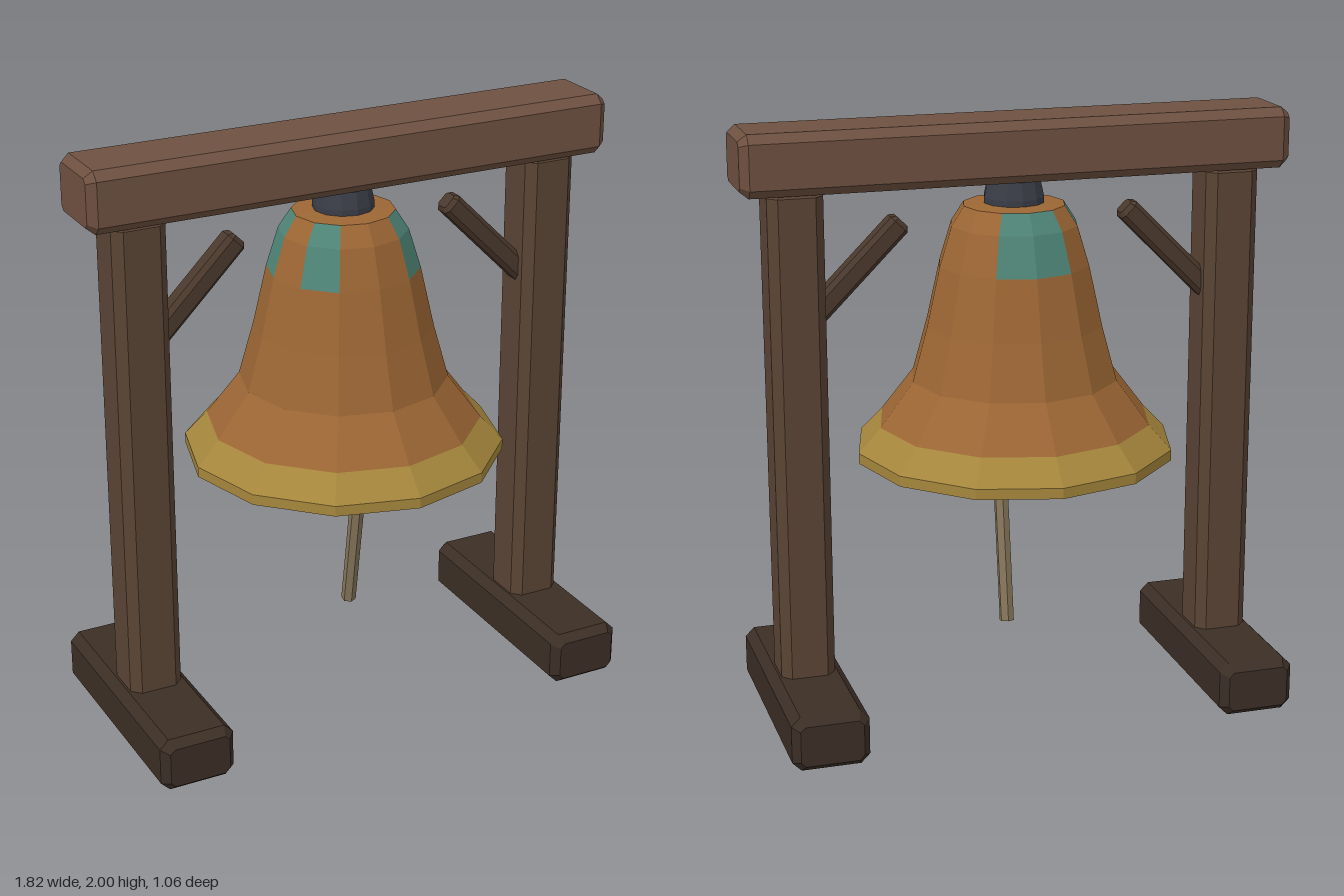
import * as THREE from 'three';

const mat = (color, extra = {}) => new THREE.MeshStandardMaterial({ color, flatShading: true, ...extra });
const beamWood = mat(0x6e5040), postWood = mat(0x594434), footWood = mat(0x3b2e25), braceWood = mat(0x4a382c);
const bronze = mat(0x9c6634), gold = mat(0xa5863c), patina = mat(0x4f8577);
const inside = mat(0x3d352b), iron = mat(0x3a3d47), ropeMat = mat(0x85765a);

function add(parent, name, geometry, material, x = 0, y = 0, z = 0) {
  const mesh = new THREE.Mesh(geometry, material);
  mesh.name = name;
  mesh.position.set(x, y, z);
  parent.add(mesh);
  return mesh;
}

// Timber with all edges chamfered, its length along z
function timber(w, h, length, c) {
  const a = w / 2 - c, b = h / 2 - c;
  const corners = [[a, -b - c], [a + c, -b], [a + c, b], [a, b + c], [-a, b + c], [-a - c, b], [-a - c, -b], [-a, -b - c]];
  const shape = new THREE.Shape(corners.map(([x, y]) => new THREE.Vector2(x, y)));
  const g = new THREE.ExtrudeGeometry(shape, {
    depth: length - 2 * c, bevelEnabled: true, bevelThickness: c, bevelSize: c * 0.8, bevelOffset: -c * 0.8, bevelSegments: 1,
  });
  return g.translate(0, 0, c - length / 2);
}

const SIDES = 12, STEP = Math.PI * 2 / SIDES;
const lathe = (pts, first = 0, count = SIDES) =>
  new THREE.LatheGeometry(pts.map(([r, y]) => new THREE.Vector2(r, y)), count, first * STEP, count * STEP);

// Rod between two points
function rod(parent, name, from, to, radius, sides, material) {
  const dir = to.clone().sub(from);
  const mid = from.clone().add(to).multiplyScalar(0.5);
  const mesh = add(parent, name, new THREE.CylinderGeometry(radius, radius, dir.length(), sides), material, mid.x, mid.y, mid.z);
  mesh.quaternion.setFromUnitVectors(new THREE.Vector3(0, 1, 0), dir.normalize());
  return mesh;
}

function buildFrame() {
  const frame = new THREE.Group();
  frame.name = 'frame';
  add(frame, 'crossBeam', timber(0.255, 0.2, 1.82, 0.028).rotateY(Math.PI / 2), beamWood, 0, 1.9, 0);
  for (const s of [1, -1]) {
    const side = s > 0 ? 'left' : 'right';
    add(frame, side + 'Post', timber(0.18, 0.18, 1.68, 0.03).rotateX(Math.PI / 2), postWood, s * 0.73, 0.98, 0);
    add(frame, side + 'Foot', timber(0.255, 0.185, 0.84, 0.03), footWood, s * 0.73, 0.0925, 0);
    // Diagonal brace leaning inwards from the post
    const brace = add(frame, side + 'Brace', timber(0.075, 0.075, 0.46, 0.015).rotateX(Math.PI / 2), braceWood, s * 0.54, 1.52, 0);
    brace.rotation.z = s * Math.PI / 4;
  }
  return frame;
}

function buildBell() {
  const bell = new THREE.Group();
  bell.name = 'bell';
  const rim = [[0.49, 0.88], [0.53, 0.88], [0.53, 0.915], [0.455, 0.995]];
  const body = [[0.455, 0.995], [0.345, 1.14], [0.295, 1.32], [0.25, 1.52]];
  const shoulder = [[0.25, 1.52], [0.21, 1.65], [0.168, 1.715]];
  add(bell, 'rim', lathe(rim), gold);
  add(bell, 'body', lathe(body), bronze);

  // Shoulder panels, some weathered green
  const green = new Set([1, 5, 6, 8, 10]);
  for (let i = 0; i < SIDES; i++) {
    add(bell, 'shoulderPanel' + (i + 1), lathe(shoulder, i, 1), green.has(i) ? patina : bronze);
  }
  add(bell, 'top', lathe([[0.168, 1.715], [0, 1.73]]), bronze);
  add(bell, 'innerWall', lathe([[0, 1.68], [0.17, 1.65], [0.22, 1.5], [0.26, 1.32], [0.31, 1.14], [0.42, 0.98], [0.49, 0.88]].slice()), inside);
  add(bell, 'crown', lathe([[0, 1.715], [0.1, 1.72], [0.1, 1.74], [0.085, 1.81], [0, 1.81]]), iron);

  // Clapper and pull rope
  add(bell, 'clapperRod', new THREE.CylinderGeometry(0.05, 0.05, 0.72, 8), iron, 0, 1.33, 0);
  add(bell, 'clapperBall', new THREE.SphereGeometry(0.1, 8, 6), iron, 0, 0.95, 0);
  rod(bell, 'pullRope', new THREE.Vector3(0.03, 0.93, 0.085), new THREE.Vector3(0.033, 0.28, -0.025), 0.025, 6, ropeMat);
  return bell;
}

export function createModel() {
  const model = new THREE.Group();
  model.name = 'bellStand';
  model.add(buildFrame(), buildBell());
  return model;
}
